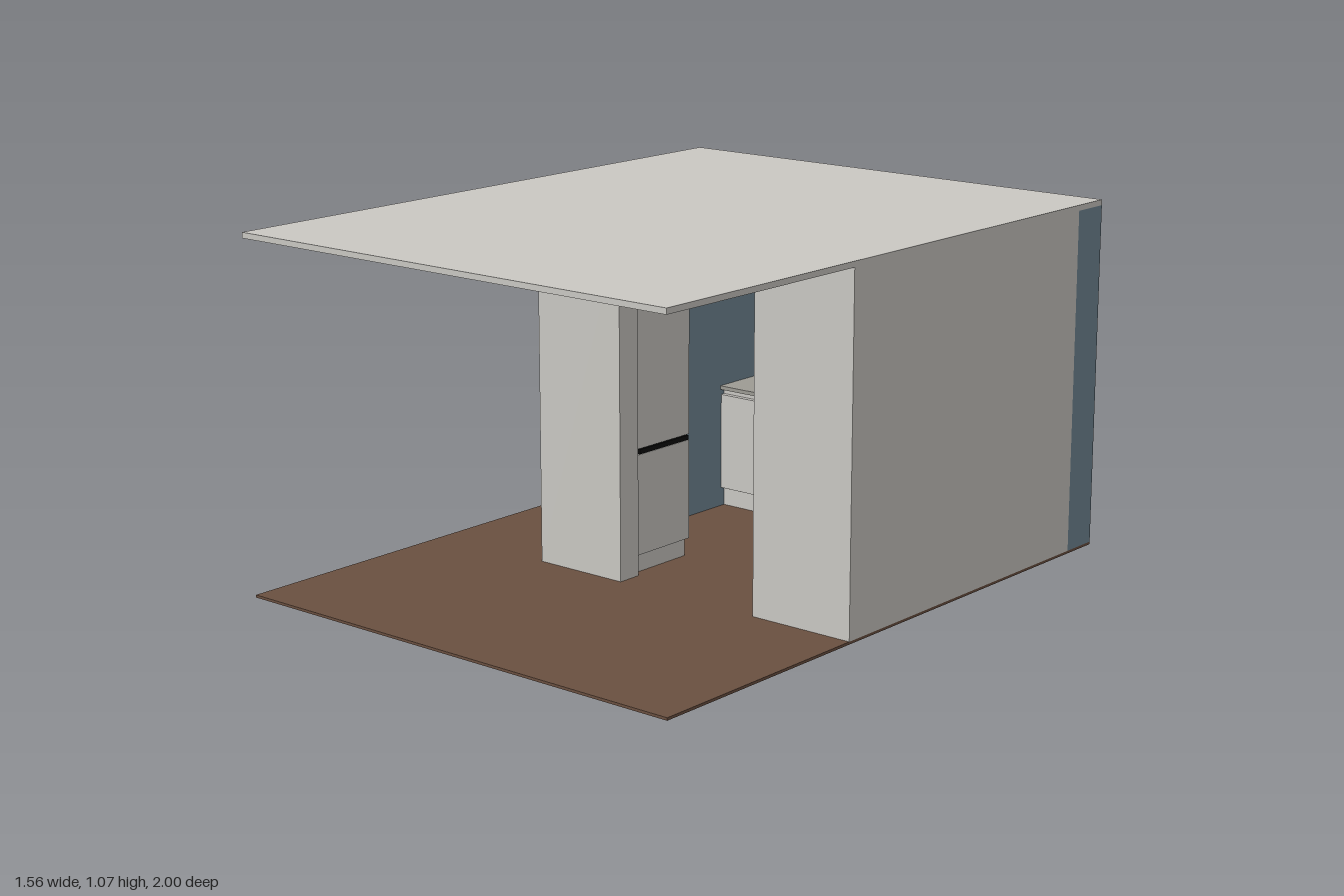
import * as THREE from 'three';

const mat = (name, color) => {
  const m = new THREE.MeshStandardMaterial({ color });
  m.name = name;
  return m;
};

export function createModel() {
  const plaster = mat('plasterGrey', 0xcac8c3);
  const blue = mat('wallBlue', 0x728794);
  const brown = mat('floorBrown', 0x6a5040);
  const stone = mat('stoneGrey', 0x9d9b94);
  const steel = mat('darkSteel', 0x5a5a58);
  const black = mat('black', 0x0c0c0c);

  const model = new THREE.Group();
  model.name = 'kitchenRoom';

  // Box given by its lower and upper limits on each axis
  const box = (name, m, x0, x1, y0, y1, z0, z1, parent = model) => {
    const mesh = new THREE.Mesh(new THREE.BoxGeometry(x1 - x0, y1 - y0, z1 - z0), m);
    mesh.position.set((x0 + x1) / 2, (y0 + y1) / 2, (z0 + z1) / 2);
    mesh.name = name;
    parent.add(mesh);
    return mesh;
  };
  const group = (name) => {
    const g = new THREE.Group();
    g.name = name;
    model.add(g);
    return g;
  };

  // Floor and ceiling slabs
  const F = 0.008, C = 1.055;
  box('floor', brown, -0.78, 0.78, 0, F, -1, 1);
  box('ceiling', plaster, -0.78, 0.78, C, 1.072, -1, 1);

  // Side and front walls
  box('leftWall', plaster, 0.75, 0.78, F, C, -0.875, 0.15);
  box('leftFrontWall', plaster, 0.44, 0.78, F, C, 0.15, 0.23);
  box('rightFrontWall', plaster, -0.37, -0.055, F, C, 0.15, 0.23);
  box('rightGreyWall', plaster, -0.37, -0.34, F, C, -0.16, 0.15);
  box('rightBlueWall', blue, -0.37, -0.34, F, C, -0.875, -0.16);

  // Back wall with the window opening
  const W = { x0: -0.125, x1: 0.535, y0: 0.465, y1: 0.97 };
  const rect = (P, x0, x1, y0, y1) => {
    const p = new P();
    p.moveTo(x0, y0);
    p.lineTo(x1, y0);
    p.lineTo(x1, y1);
    p.lineTo(x0, y1);
    p.closePath();
    return p;
  };
  const wallShape = rect(THREE.Shape, -0.37, 0.78, F, C);
  wallShape.holes.push(rect(THREE.Path, W.x0, W.x1, W.y0, W.y1));
  const backWall = new THREE.Mesh(
    new THREE.ExtrudeGeometry(wallShape, { depth: 0.125, bevelEnabled: false }), blue);
  backWall.position.z = -1;
  backWall.name = 'backWall';
  model.add(backWall);

  // Window: outer frame with three panes, plus an inner casement frame
  const win = group('window');
  const frame = (name, o, holes, z, depth) => {
    const s = rect(THREE.Shape, ...o);
    holes.forEach((h) => s.holes.push(rect(THREE.Path, ...h)));
    const m = new THREE.Mesh(new THREE.ExtrudeGeometry(s, { depth, bevelEnabled: false }), plaster);
    m.position.z = z;
    m.name = name;
    win.add(m);
  };
  frame('windowFrame', [W.x0, W.x1, W.y0, W.y1],
    [[-0.1, 0.31, 0.487, 0.94], [0.33, 0.51, 0.815, 0.94], [0.33, 0.51, 0.487, 0.795]], -0.94, 0.04);
  frame('casement', [0.312, 0.53, 0.48, 0.81], [[0.35, 0.49, 0.505, 0.775]], -0.93, 0.042);
  box('windowHandle', steel, 0.336, 0.344, 0.62, 0.67, -0.888, -0.875, win);
  box('windowSill', plaster, W.x0, W.x1, W.y0 - 0.008, W.y0 + 0.004, -0.9, -0.86, win);

  // Base cabinet run: back at z = 0, doors facing +z, one door between each pair of cuts
  const D = 0.3;
  const cabinetRun = (name, cuts, handles) => {
    const g = group(name);
    const a = cuts[0], b = cuts[cuts.length - 1];
    box('plinth', plaster, a, b, F, 0.065, 0, D - 0.02, g);
    box('carcass', plaster, a, b, 0.065, 0.375, 0, D - 0.012, g);
    box('handleRecess', plaster, a, b, 0.375, 0.392, 0, D - 0.02, g);
    box('worktop', stone, a, b, 0.392, 0.404, 0, D, g);
    for (let i = 0; i + 1 < cuts.length; i++) {
      box('door', plaster, cuts[i] + 0.001, cuts[i + 1] - 0.001, 0.068, 0.375, D - 0.012, D - 0.004, g);
    }
    handles.forEach(([h0, h1]) => box('handle', black, h0, h1, 0.376, 0.39, D - 0.02, D, g));
    return g;
  };

  const backRun = cabinetRun('backCabinets', [-0.34, -0.055, 0.09, 0.34, 0.44, 0.75],
    [[-0.055, 0.07], [0.11, 0.32], [0.36, 0.44]]);
  backRun.position.z = -0.875;
  const sideRun = cabinetRun('leftCabinets', [-0.575, -0.35, -0.1, 0.15],
    [[-0.54, -0.37], [-0.32, -0.13], [-0.07, 0.12]]);
  sideRun.position.x = 0.75;
  sideRun.rotation.y = -Math.PI / 2;

  // Backsplash, hob and sink
  box('backsplash', stone, -0.34, 0.75, 0.404, 0.457, -0.875, -0.867);
  box('hob', black, 0.49, 0.7, 0.404, 0.41, -0.34, -0.1);
  box('sinkBasin', steel, 0.08, 0.34, 0.404, 0.407, -0.8, -0.62);
  box('sinkBowl', black, 0.1, 0.32, 0.407, 0.409, -0.78, -0.64);

  // Tap with a curved spout
  const tap = group('tap');
  const base = new THREE.Mesh(new THREE.CylinderGeometry(0.009, 0.011, 0.035, 16), steel);
  base.position.set(0.215, 0.42, -0.825);
  base.name = 'tapBase';
  const spoutPath = new THREE.CatmullRomCurve3([
    [0.42, -0.825], [0.51, -0.825], [0.54, -0.80], [0.535, -0.755], [0.5, -0.74],
  ].map(([y, z]) => new THREE.Vector3(0.215, y, z)));
  const spout = new THREE.Mesh(new THREE.TubeGeometry(spoutPath, 24, 0.005, 10), steel);
  spout.name = 'tapSpout';
  tap.add(base, spout);
  box('tapLever', steel, 0.215, 0.255, 0.452, 0.457, -0.828, -0.822, tap);

  // Tall cupboard beside the entrance
  const tall = group('tallCupboard');
  box('tallPlinth', plaster, -0.34, -0.08, F, 0.065, -0.09, 0.15, tall);
  box('tallCarcass', plaster, -0.34, -0.07, 0.065, C, -0.09, 0.15, tall);
  box('lowerDoor', plaster, -0.07, -0.06, 0.068, 0.374, -0.088, 0.148, tall);
  box('upperDoor', plaster, -0.07, -0.06, 0.392, C - 0.01, -0.088, 0.148, tall);
  box('tallHandle', black, -0.07, -0.057, 0.376, 0.39, -0.08, 0.14, tall);

  // Ceiling lamp
  const lamp = new THREE.Mesh(new THREE.CylinderGeometry(0.04, 0.04, 0.01, 24), black);
  lamp.position.set(0.27, C - 0.005, -0.35);
  lamp.name = 'ceilingLamp';
  model.add(lamp);

  return model;
}
